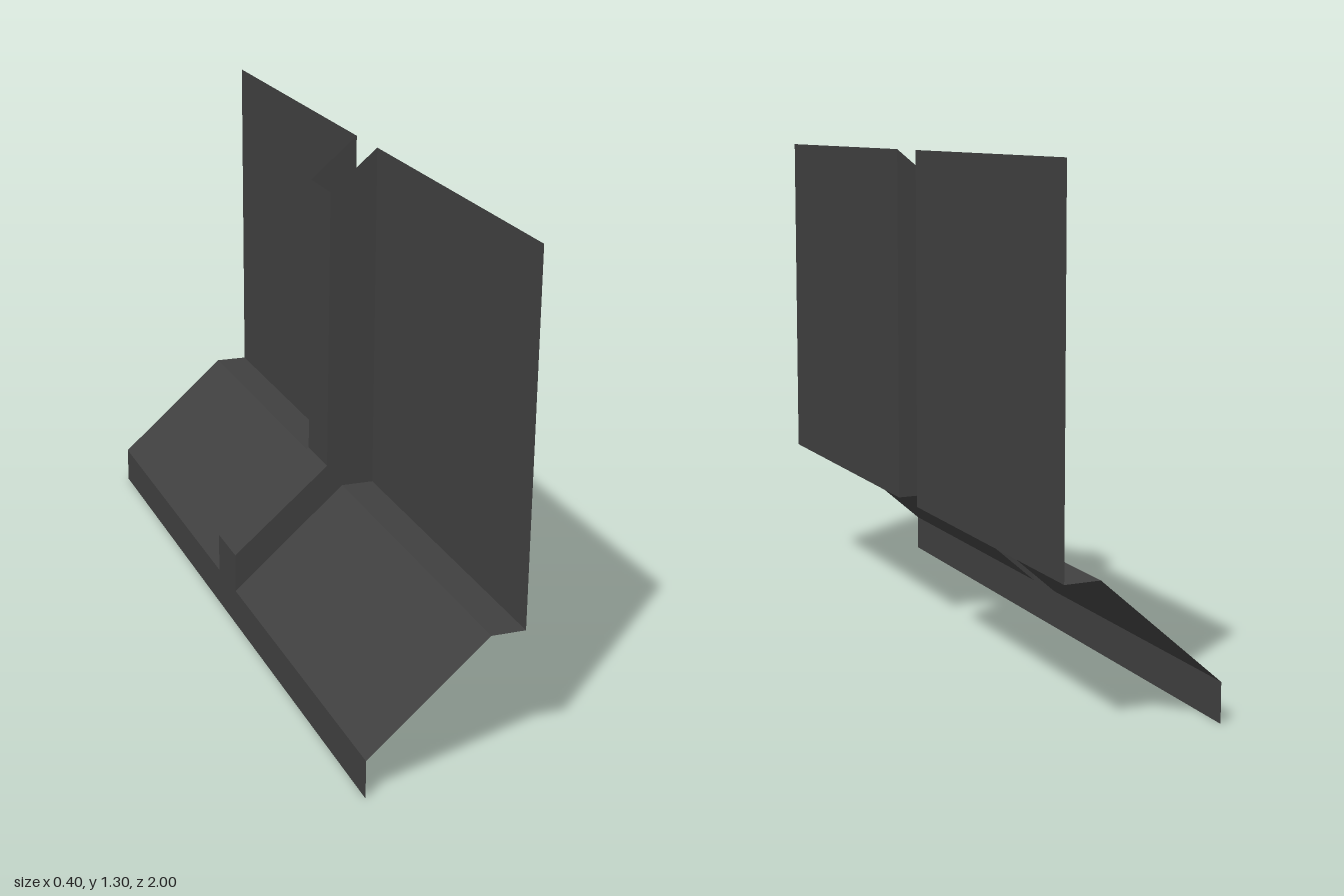
import * as THREE from 'three';

// Profiles in the x-y plane, from the bottom lip to the top edge
const PANEL = [[-0.2, 0], [-0.2, 0.1], [0.11, 0.368], [0.2, 0.366], [0.2, 1.304]];
const RIB = [[-0.2, 0], [-0.2, 0.1], [-0.2, 0.208], [0.066, 0.432], [0.071, 1.197]];
const HALF_RIB = 0.07;

// Sweeps an open profile along z into a folded sheet with sharp creases
function sheet(profile, z0, z1) {
  const pos = [];
  for (let i = 0; i < profile.length - 1; i++) {
    const [ax, ay] = profile[i];
    const [bx, by] = profile[i + 1];
    pos.push(ax, ay, z0, ax, ay, z1, bx, by, z1);
    pos.push(ax, ay, z0, bx, by, z1, bx, by, z0);
  }
  const geometry = new THREE.BufferGeometry();
  geometry.setAttribute('position', new THREE.Float32BufferAttribute(pos, 3));
  geometry.computeVertexNormals();
  return geometry;
}

export function createModel() {
  const group = new THREE.Group();
  const darkGrey = new THREE.MeshStandardMaterial({ color: 0x404040, side: THREE.DoubleSide });
  darkGrey.name = 'darkGrey';

  const add = (name, geometry) => {
    const mesh = new THREE.Mesh(geometry, darkGrey);
    mesh.name = name;
    group.add(mesh);
    return mesh;
  };

  // Raised rib down the middle
  add('centreRib', sheet(RIB, -HALF_RIB, HALF_RIB));

  // Wide folded panels on each side of the rib
  add('frontPanel', sheet(PANEL, HALF_RIB, 1));
  add('backPanel', sheet(PANEL, -1, -HALF_RIB));

  // Side walls joining the rib to the panels
  const outline = [...PANEL.slice(1), ...RIB.slice(2).reverse()];
  const wall = new THREE.ShapeGeometry(new THREE.Shape(outline.map(([x, y]) => new THREE.Vector2(x, y))));
  add('frontRibWall', wall).position.z = HALF_RIB;
  add('backRibWall', wall).position.z = -HALF_RIB;

  return group;
}
